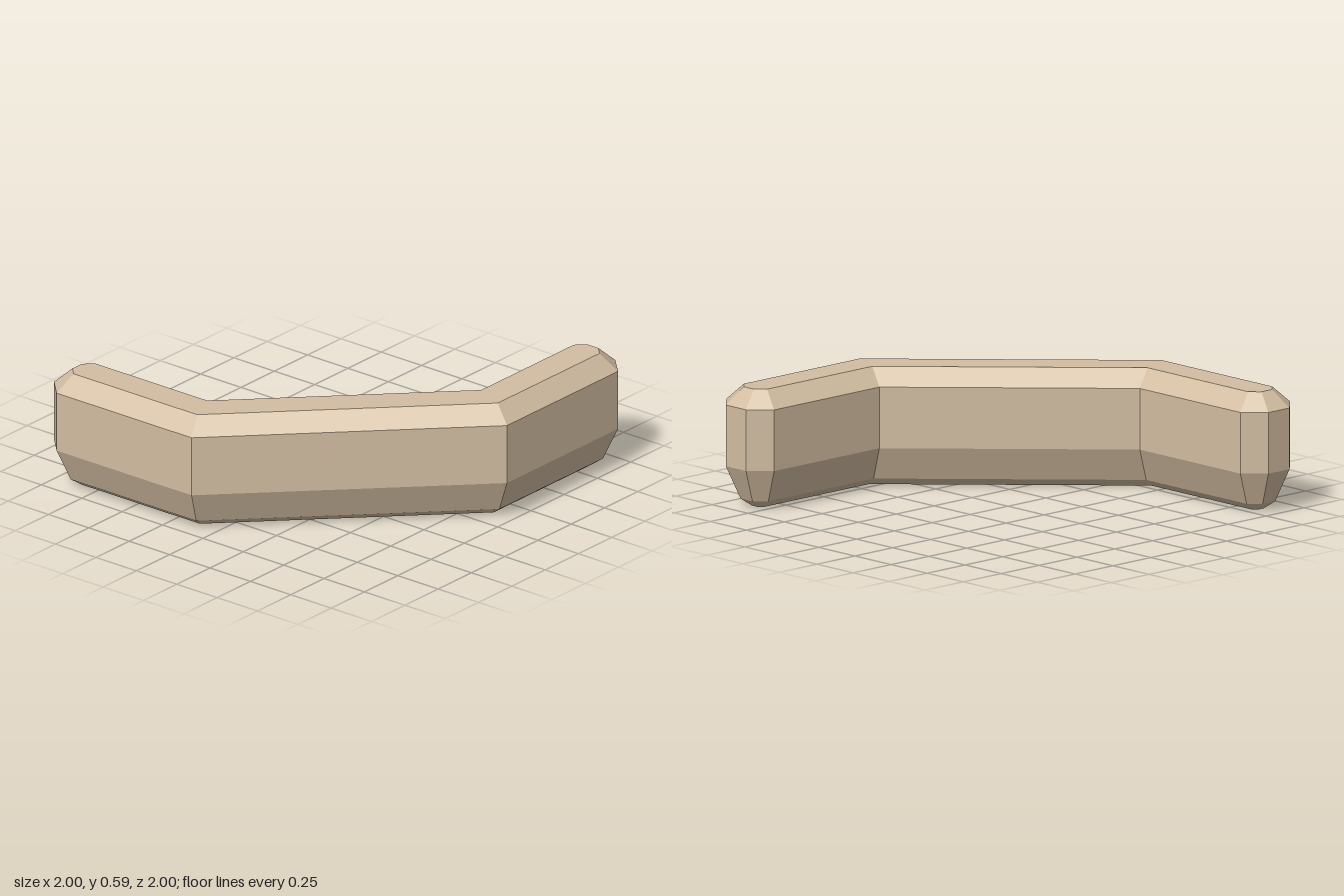
import * as THREE from 'three';

// Half of the plan outline (x, z), clockwise from above: outer bend, chamfered end, inner bend
const half = [[-1, -0.07], [-1, -0.905], [-0.905, -1], [-0.765, -1], [-0.67, -0.905], [-0.67, -0.21]];
// The other half mirrors across the diagonal
const outline = [...half, ...half.map(([x, z]) => [-z, -x]).reverse()]
  .map(([x, z]) => new THREE.Vector2(x, z));

// Bevel profile from bottom to top: [height, inset]
const levels = [[0, 0.125], [0.04, 0.07], [0.205, 0], [0.505, 0], [0.587, 0.085]];

// Moves every edge of the outline inward by d, with mitred corners
function insetRing(points, y, d) {
  const n = points.length;
  return points.map((p, i) => {
    const a = p.clone().sub(points[(i + n - 1) % n]).normalize();
    const b = points[(i + 1) % n].clone().sub(p).normalize();
    const na = new THREE.Vector2(-a.y, a.x);
    const nb = new THREE.Vector2(-b.y, b.x);
    const m = na.clone().add(nb).multiplyScalar(d / (1 + na.dot(nb)));
    return [p.x + m.x, y, p.y + m.y];
  });
}

function wallGeometry() {
  const rings = levels.map(([y, d]) => insetRing(outline, y, d));
  const n = outline.length;
  const pos = [];
  const quad = (a, b, c, d) => pos.push(...a, ...b, ...c, ...a, ...c, ...d);

  // Bevelled sides
  for (let k = 0; k < rings.length - 1; k++) {
    const lo = rings[k], hi = rings[k + 1];
    for (let i = 0; i < n; i++) {
      const j = (i + 1) % n;
      quad(lo[j], lo[i], hi[i], hi[j]);
    }
  }
  // Flat top and bottom, one quad per section of the plan
  const top = rings[rings.length - 1], bottom = rings[0];
  for (const [a, b, c, d] of [[1, 2, 3, 4], [0, 1, 4, 5], [11, 0, 5, 6], [10, 11, 6, 7], [7, 8, 9, 10]]) {
    quad(top[d], top[c], top[b], top[a]);
    quad(bottom[a], bottom[b], bottom[c], bottom[d]);
  }

  const geometry = new THREE.BufferGeometry();
  geometry.setAttribute('position', new THREE.Float32BufferAttribute(pos, 3));
  geometry.computeVertexNormals(); // unshared corners give flat faces
  return geometry;
}

export function createModel() {
  const group = new THREE.Group();
  group.name = 'bentWall';
  const sandstone = new THREE.MeshStandardMaterial({ color: 0xd2bda1 });
  sandstone.name = 'sandstone';
  const wall = new THREE.Mesh(wallGeometry(), sandstone);
  wall.name = 'wall';
  group.add(wall);
  return group;
}
